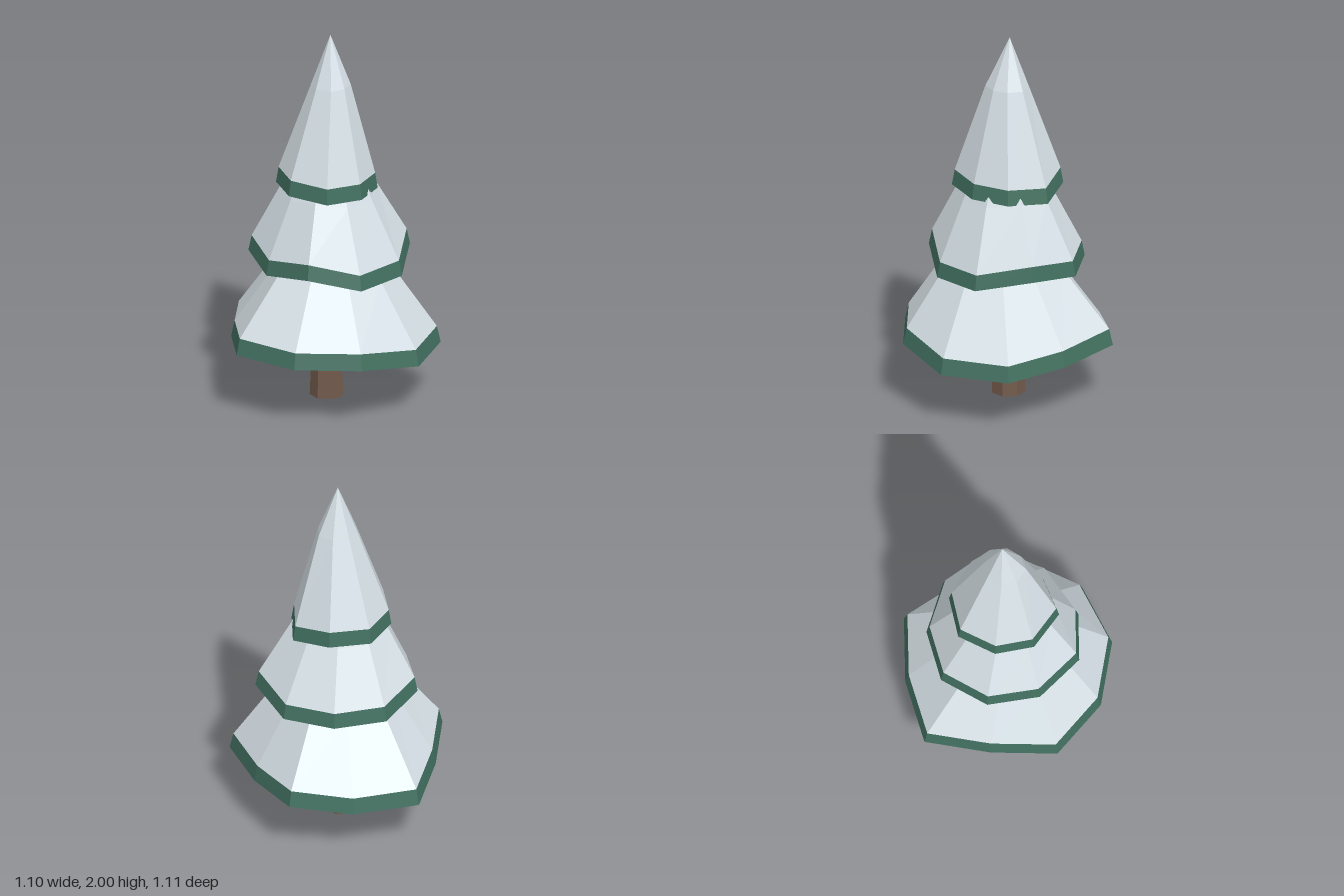
import * as THREE from 'three';

const mat = (name, color) => {
  const m = new THREE.MeshStandardMaterial({ color, flatShading: true });
  m.name = name;
  return m;
};

// Flat-shaded mesh from a list of triangles (each three Vector3)
function facetMesh(name, triangles, material) {
  const geometry = new THREE.BufferGeometry().setFromPoints(triangles.flat());
  geometry.computeVertexNormals();
  const mesh = new THREE.Mesh(geometry, material);
  mesh.name = name;
  return mesh;
}

// Outward-facing wall between consecutive rings of equal length
function loft(rings) {
  const triangles = [];
  for (let r = 0; r < rings.length - 1; r++) {
    const a = rings[r], b = rings[r + 1], n = a.length;
    for (let i = 0; i < n; i++) {
      const j = (i + 1) % n;
      triangles.push([a[j], a[i], b[i]]);
      if (b[i].distanceTo(b[j]) > 1e-5) triangles.push([a[j], b[i], b[j]]);
    }
  }
  return triangles;
}

// Downward-facing fan closing a ring
function underside(ring, center) {
  return ring.map((p, i) => [center, p, ring[(i + 1) % ring.length]]);
}

// Irregular rims [x, y, z]; upper rings: scale of the rim, height, centre x and z, share of waviness kept
const TIERS = [
  {
    name: 'lowerTier', inset: 0.965, band: 0.087,
    rim: [[0.07, 0.33, -0.56], [0.33, 0.30, -0.34], [0.55, 0.29, -0.07], [0.48, 0.29, 0.29],
      [0.21, 0.34, 0.52], [-0.14, 0.34, 0.55], [-0.46, 0.35, 0.40], [-0.53, 0.32, 0.06],
      [-0.55, 0.295, -0.29], [-0.25, 0.29, -0.47]],
    upper: [[0.56, 0.73, -0.02, 0.03, 0.4], [0.3, 1.0, -0.02, 0.01, 0]],
  },
  {
    name: 'middleTier', inset: 0.96, band: 0.082,
    rim: [[-0.12, 0.75, -0.39], [0.16, 0.745, -0.375], [0.375, 0.79, -0.18], [0.37, 0.725, 0.125],
      [0.185, 0.715, 0.345], [-0.085, 0.79, 0.42], [-0.32, 0.75, 0.27], [-0.445, 0.79, 0.02],
      [-0.36, 0.755, -0.25]],
    upper: [[0.6, 1.14, -0.03, 0.01, 0.4], [0.36, 1.36, -0.02, 0, 0]],
  },
  {
    name: 'topTier', inset: 0.95, band: 0.083,
    rim: [[-0.06, 1.18, -0.285], [0.155, 1.145, -0.23], [0.225, 1.15, -0.03], [0.165, 1.155, 0.165],
      [0, 1.165, 0.29], [-0.21, 1.175, 0.21], [-0.30, 1.18, 0.025], [-0.255, 1.18, -0.185]],
    upper: [[0.39, 1.73, -0.015, 0, 0], [0, 2, -0.02, -0.01, 0]],
  },
];

export function createModel() {
  const tree = new THREE.Group();
  tree.name = 'snowyTree';
  const snow = mat('snow', 0xdde8ee);
  const needles = mat('pineGreen', 0x427060);
  const bark = mat('bark', 0x725a4b);

  // Seven-sided tapering trunk
  const trunk = new THREE.Mesh(new THREE.CylinderGeometry(0.074, 0.09, 0.36, 7), bark);
  trunk.name = 'trunk';
  trunk.rotation.y = Math.PI;
  trunk.position.set(-0.037, 0.18, 0);
  tree.add(trunk);

  for (const { name, inset, band, rim, upper } of TIERS) {
    const tier = new THREE.Group();
    tier.name = name;
    const base = rim.map((p) => new THREE.Vector3(...p));
    const center = base.reduce((sum, p) => sum.add(p), new THREE.Vector3()).divideScalar(base.length);

    // Ring scaled about the tier's centre, moved to its own centre
    const ring = (scale, y, cx, cz, wave) => base.map((p) => new THREE.Vector3(
      cx + (p.x - center.x) * scale, y + (p.y - center.y) * wave, cz + (p.z - center.z) * scale));

    const snowLine = ring(inset, center.y + band, center.x, center.z, 1);
    const upperRings = upper.map((u) => ring(...u));

    // Green edge with underside, snow above it
    tier.add(facetMesh(name + 'Edge', loft([base, snowLine]), needles));
    tier.add(facetMesh(name + 'Underside', underside(base, center), needles));
    tier.add(facetMesh(name + 'Snow', loft([snowLine, ...upperRings]), snow));
    tree.add(tier);
  }
  return tree;
}
